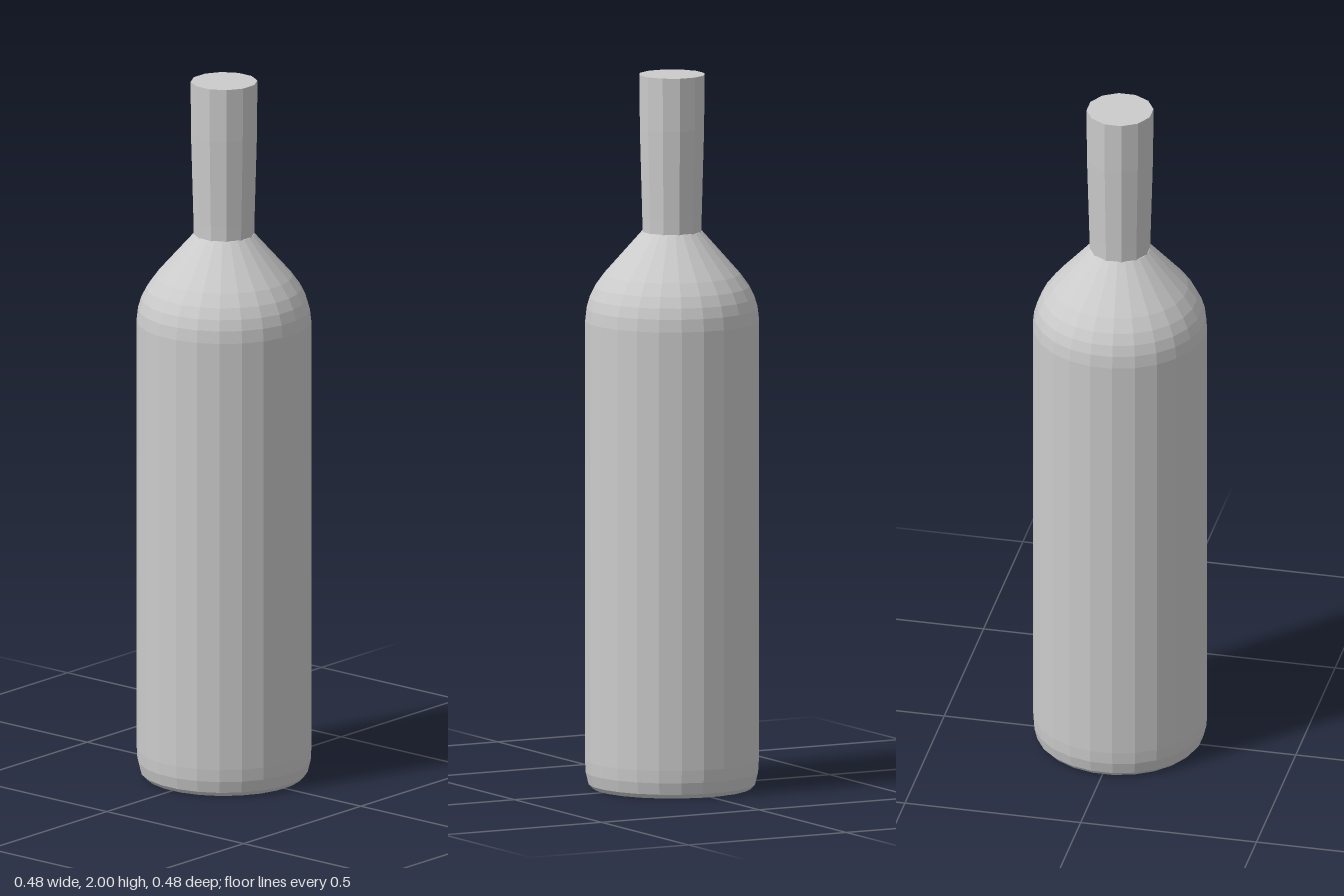
import * as THREE from 'three';

const material = new THREE.MeshStandardMaterial({ color: 0xcccccc, flatShading: true });

// Faceted solid of revolution, turned by half a facet so flats face the axes
function turned(name, profile, sides) {
  const points = profile.map(([r, y]) => new THREE.Vector2(r, y));
  const mesh = new THREE.Mesh(new THREE.LatheGeometry(points, sides, Math.PI / sides), material);
  mesh.name = name;
  return mesh;
}

export function createModel() {
  const bottle = new THREE.Group();
  bottle.name = 'bottle';

  // Body: flat base, small rounded foot, straight wall, sloping shoulder
  bottle.add(turned('body', [
    [0, 0], [0.222, 0], [0.233, 0.012], [0.241, 0.045],
    [0.243, 0.08], [0.243, 1.31], [0.239, 1.345], [0.23, 1.375],
    [0.215, 1.405], [0.19, 1.44], [0.084, 1.56], [0.078, 1.562],
  ], 24));

  // Neck: slightly flared, closed by a flat top, foot sunk into the shoulder
  bottle.add(turned('neck', [
    [0.084, 1.545], [0.085, 1.6], [0.092, 1.85], [0.093, 2], [0, 2],
  ], 12));

  return bottle;
}
